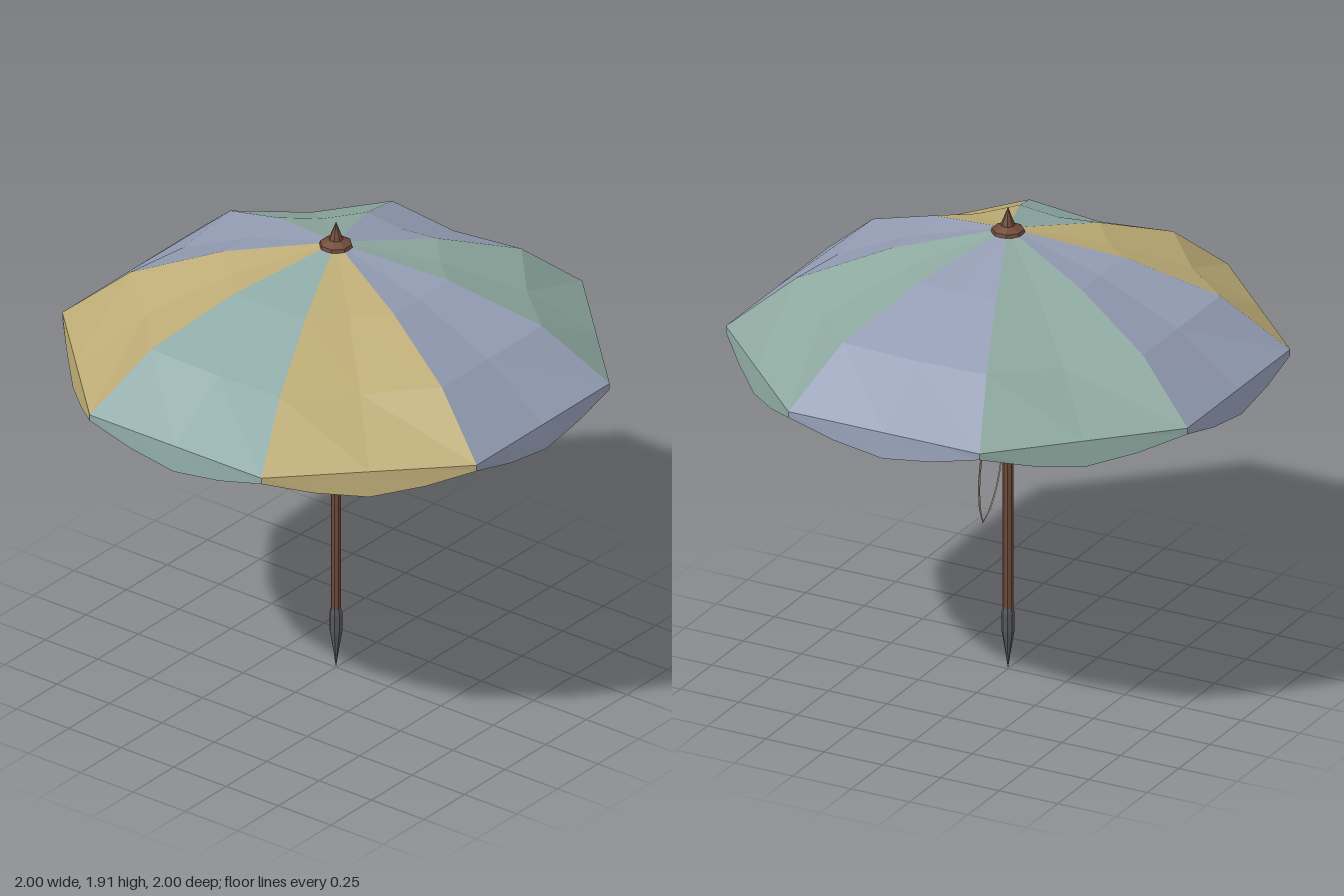
import * as THREE from 'three';

const mat = (name, color, extra = {}) => {
  const m = new THREE.MeshStandardMaterial({ color, flatShading: true, ...extra });
  m.name = name;
  return m;
};

// Flat-faced sheet from rows of points running top to bottom, left to right
function sheet(rows) {
  const pos = [];
  for (let i = 0; i < rows.length - 1; i++) {
    for (let j = 0; j < rows[i].length - 1; j++) {
      const ul = rows[i][j], ur = rows[i][j + 1];
      const ll = rows[i + 1][j], lr = rows[i + 1][j + 1];
      pos.push(...ul, ...ll, ...lr);
      if (i > 0 || ul !== ur) pos.push(...ul, ...lr, ...ur);
    }
  }
  const g = new THREE.BufferGeometry();
  g.setAttribute('position', new THREE.Float32BufferAttribute(pos, 3));
  g.computeVertexNormals();
  return g;
}

export function createModel() {
  const group = new THREE.Group();
  const two = { side: THREE.DoubleSide };
  const teal = mat('teal cloth', 0x8da8a5, two);
  const green = mat('green cloth', 0x8da89f, two);
  const gold = mat('gold cloth', 0xbdac76, two);
  const blue = mat('blue cloth', 0x939cb3, two);
  const wood = mat('brown wood', 0x704a3a);
  const darkWood = mat('dark rib wood', 0x4a3026);
  const metal = mat('grey metal', 0x55585c);
  const cord = mat('pale cord', 0xa59c88);

  const add = (name, geo, material, parent = group) => {
    const m = new THREE.Mesh(geo, material);
    m.name = name;
    parent.add(m);
    return m;
  };
  const lathe = (pts) => new THREE.LatheGeometry(pts.map(([r, y]) => new THREE.Vector2(r, y)), 8, Math.PI / 8);

  // Canopy panel facing +z: corner ribs at +-22.5 degrees, slightly sagging centre
  const half = Math.PI / 8;
  const s = Math.sin(half), c = Math.cos(half);
  const apex = [0, 1.825, 0];
  const rows = [[apex, apex, apex]];
  for (const [r, y, sag] of [[0.44, 1.722, 0.01], [0.805, 1.58, 0.018], [1.07, 1.37, 0]]) {
    rows.push([[-r * s, y, r * c], [0, y - sag, r * c - sag], [r * s, y, r * c]]);
  }
  const panelGeo = sheet(rows);

  // Scalloped valance hanging from the panel edge
  const top = [], bottom = [];
  [[-1, 1.345, 0], [-0.52, 1.297, 0.007], [0, 1.268, 0.012], [0.52, 1.297, 0.007], [1, 1.345, 0]].forEach(([t, y, out]) => {
    const x = t * 1.07 * s, z = 1.07 * c;
    top.push([x, 1.37, z]);
    bottom.push([x, y, z + out]);
  });
  const valanceGeo = sheet([top, bottom]);

  [teal, gold, blue, green, blue, green, blue, gold].forEach((cloth, k) => {
    const panel = new THREE.Group();
    panel.name = 'canopyPanel';
    panel.rotation.y = k * Math.PI / 4;
    add('panelCloth', panelGeo, cloth, panel);
    add('valance', valanceGeo, cloth, panel);
    group.add(panel);
  });

  // Pole with pointed metal ferrule
  add('pole', lathe([[0.02, 0.24], [0.02, 1.82]]), wood);
  add('ferrule', lathe([[0, 0], [0.011, 0.075], [0.025, 0.16], [0.025, 0.235], [0.02, 0.255], [0, 0.255]]), metal);

  // Crown cap and finial
  add('crownCap', lathe([[0, 1.8], [0.066, 1.806], [0.062, 1.822], [0.03, 1.838], [0, 1.838]]), wood);
  add('finial', lathe([[0.03, 1.83], [0.024, 1.85], [0.01, 1.885], [0, 1.912]]), wood);

  // Runner and upper hub around the pole
  add('runner', lathe([[0.018, 1.275], [0.034, 1.28], [0.034, 1.32], [0.018, 1.325]]), metal);
  add('upperHub', lathe([[0.018, 1.745], [0.042, 1.75], [0.042, 1.785], [0.018, 1.79]]), metal);

  // Stretchers from the runner up to the canopy seams
  for (let k = 0; k < 8; k++) {
    const a = half + k * Math.PI / 4;
    const from = new THREE.Vector3(Math.sin(a) * 0.03, 1.3, Math.cos(a) * 0.03);
    const to = new THREE.Vector3(Math.sin(a) * 0.44, 1.715, Math.cos(a) * 0.44);
    add('stretcher', new THREE.TubeGeometry(new THREE.LineCurve3(from, to), 1, 0.006, 4), darkWood);
  }

  // Cord loop hanging behind the pole
  const side = [[0.016, 1.24], [0.037, 1.12], [0.042, 0.97], [0.034, 0.8]];
  const outline = [[0, 1.3], ...side, [0, 0.685], ...side.slice().reverse().map(([x, y]) => [-x, y])];
  const loop = outline.map(([x, y]) => new THREE.Vector3(x, y, -0.025 - (1.3 - y) * 0.285));
  add('cordLoop', new THREE.TubeGeometry(new THREE.CatmullRomCurve3(loop, true), 24, 0.004, 4, true), cord);

  return group;
}
